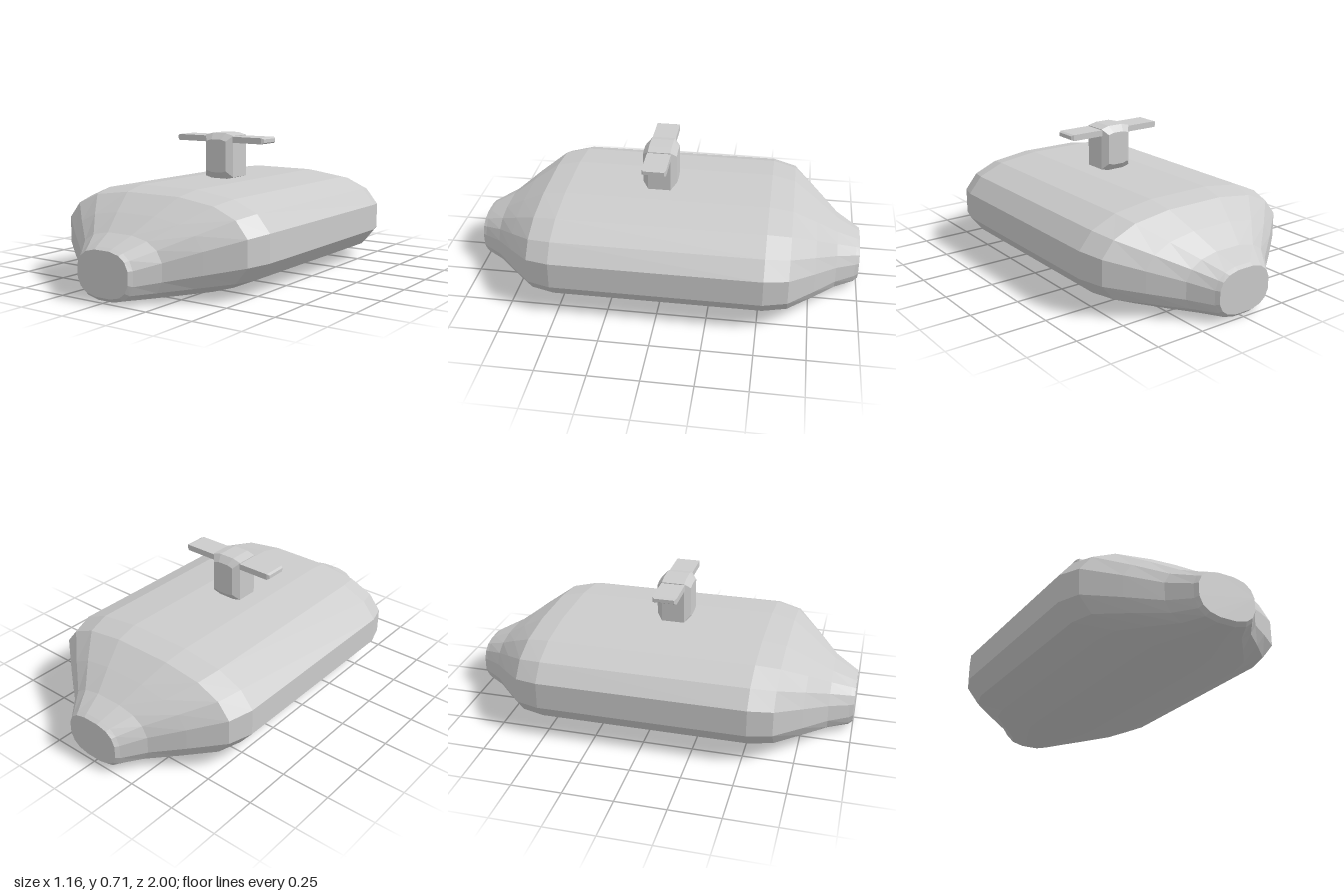
import * as THREE from 'three';

// Mirrors a quarter outline (unit half-sizes, top to side) into a full counter-clockwise ring.
function fullRing(quarter) {
  const up = [...quarter].reverse(); // side to top
  return [
    ...up,
    ...quarter.map(([x, y]) => [-x, y]),
    ...up.map(([x, y]) => [-x, -y]),
    ...quarter.map(([x, y]) => [x, -y]),
  ];
}

// Skins a ring through stations [z, halfWidth, bottom, top] and caps both ends.
function loft(quarter, stations) {
  const ring = fullRing(quarter);
  const n = ring.length;
  const positions = [];
  const index = [];
  for (const [z, w, bottom, top] of stations) {
    for (const [x, y] of ring) {
      positions.push(x * w, (top + bottom) / 2 + (y * (top - bottom)) / 2, z);
    }
  }
  for (let i = 0; i < stations.length - 1; i++) {
    for (let j = 0; j < n; j++) {
      const a = i * n + j, b = i * n + ((j + 1) % n);
      index.push(a, b, b + n, a, b + n, a + n);
    }
  }
  const last = (stations.length - 1) * n;
  for (let j = 1; j < n - 1; j++) {
    index.push(0, j + 1, j, last, last + j, last + j + 1);
  }
  const indexed = new THREE.BufferGeometry();
  indexed.setAttribute('position', new THREE.Float32BufferAttribute(positions, 3));
  indexed.setIndex(index);
  const geometry = indexed.toNonIndexed();
  geometry.computeVertexNormals();
  return geometry;
}

// Repeats a half list of stations on the -z side.
const mirrored = (half) => [
  ...[...half].reverse().map(([z, ...rest]) => [-z, ...rest]),
  ...half,
];

export function createModel() {
  const group = new THREE.Group();
  const material = new THREE.MeshStandardMaterial({ color: 0xcccccc, flatShading: true });
  const add = (name, geometry) => {
    const mesh = new THREE.Mesh(geometry, material);
    mesh.name = name;
    group.add(mesh);
    return mesh;
  };

  // Flattened tank body, tapering to a blunt neck at each end
  add('body', loft(
    [[0.29, 1], [0.655, 0.88], [0.88, 0.645], [1, 0.29]],
    mirrored([
      [0.525, 0.58, 0, 0.472],
      [0.645, 0.54, 0.004, 0.45],
      [0.77, 0.388, 0.002, 0.372],
      [0.88, 0.245, 0, 0.297],
      [0.98, 0.163, 0.006, 0.251],
      [1, 0.15, 0.024, 0.24],
    ]),
  ));

  // Chamfered valve stem standing on the body
  const stemZ = 0.047;
  add('valveStem', loft(
    [[0.47, 1], [1, 0.9]],
    mirrored([
      [0.058, 0.087, 0.47, 0.707],
      [0.0875, 0.06, 0.505, 0.675],
    ]),
  )).position.z = stemZ;

  // Flat crossbar handle with bevelled ends
  const bar = add('handleBar', loft(
    [[1, 1]],
    mirrored([
      [0.258, 0.061, 0.66, 0.691],
      [0.271, 0.052, 0.667, 0.685],
    ]),
  ));
  bar.rotation.y = Math.PI / 2;
  bar.position.z = stemZ;

  return group;
}
